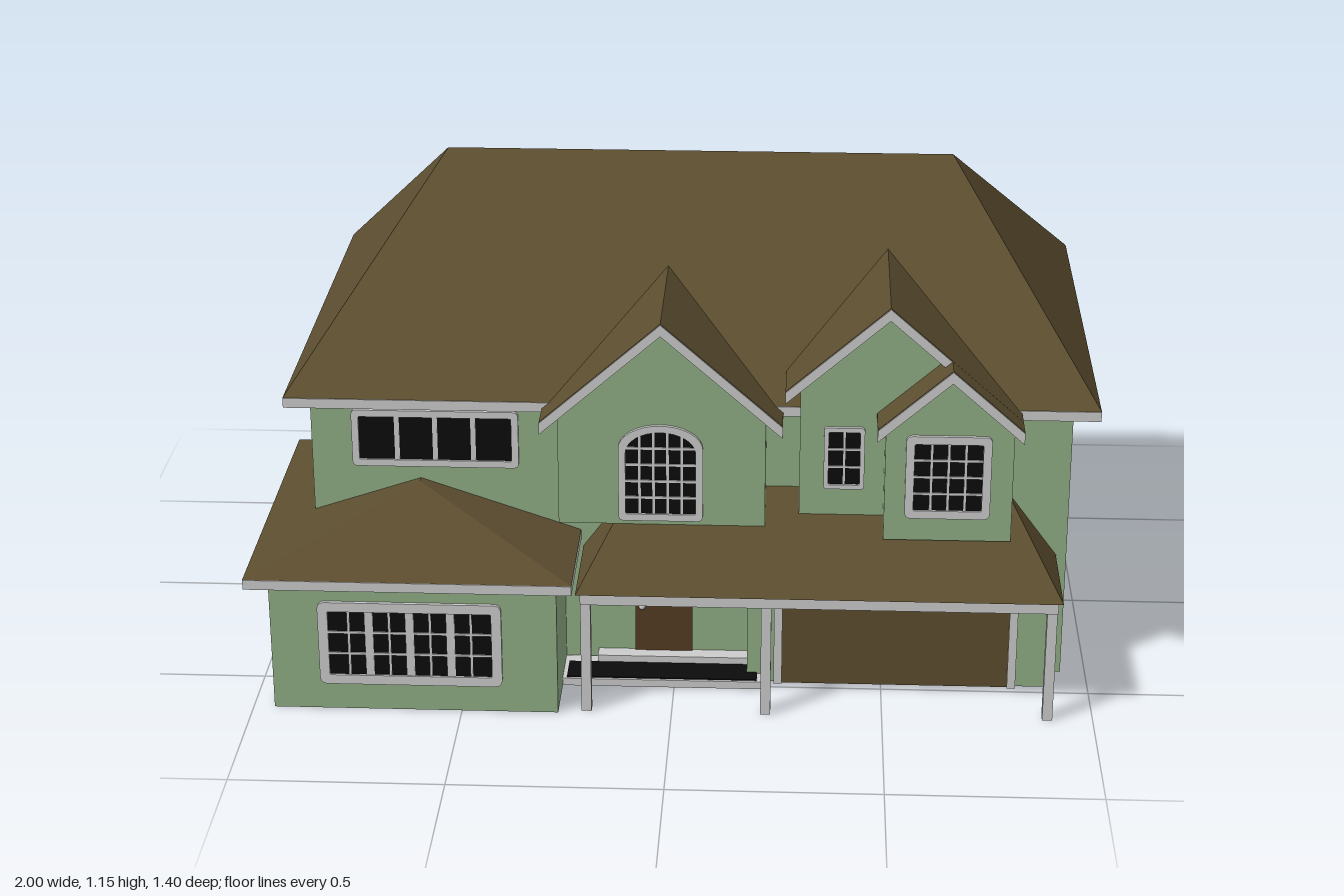
import * as THREE from 'three';

const mat = (name, color, side = THREE.FrontSide) => {
  const m = new THREE.MeshStandardMaterial({ color, side });
  m.name = name;
  return m;
};

export function createModel() {
  const house = new THREE.Group();
  house.name = 'house';
  const siding = mat('green siding', 0x8fad85, THREE.DoubleSide);
  const shingle = mat('brown shingle', 0x5c4d2f, THREE.DoubleSide);
  const trim = mat('white trim', 0xcccccc);
  const glass = mat('dark glass', 0x0c0c0c, THREE.DoubleSide);
  const wood = mat('door wood', 0x553c22);

  const add = (name, geo, material, parent = house) => {
    const m = new THREE.Mesh(geo, material);
    m.name = name;
    parent.add(m);
    return m;
  };
  // box given by its limits on each axis
  const box = (name, material, x0, x1, y0, y1, z0, z1, parent = house) => {
    const m = add(name, new THREE.BoxGeometry(x1 - x0, y1 - y0, z1 - z0), material, parent);
    m.position.set((x0 + x1) / 2, (y0 + y1) / 2, (z0 + z1) / 2);
    return m;
  };
  // flat faces, each a convex polygon of points
  const faces = (name, material, polys) => {
    const pos = [];
    for (const p of polys)
      for (let i = 1; i < p.length - 1; i++) pos.push(...p[0], ...p[i], ...p[i + 1]);
    const g = new THREE.BufferGeometry();
    g.setAttribute('position', new THREE.Float32BufferAttribute(pos, 3));
    g.computeVertexNormals();
    return add(name, g, material);
  };
  // thin upright walls along a ground path of [x, z] points
  const walls = (name, path, y0, y1) =>
    faces(name, siding, path.slice(1).map(([x, z], i) => {
      const [px, pz] = path[i];
      return [[px, y0, pz], [x, y0, z], [x, y1, z], [px, y1, pz]];
    }));
  // polygon in x and y, extruded from z0 to z1
  const prism = (name, material, pts, z0, z1) => {
    const s = new THREE.Shape(pts.map(p => new THREE.Vector2(...p)));
    const g = new THREE.ExtrudeGeometry(s, { depth: z1 - z0, bevelEnabled: false });
    return add(name, g.translate(0, 0, z0), material);
  };
  // four-sided roof on a white eave slab; ridge given by its two ends
  const hipRoof = (name, x0, x1, z0, z1, y, r0, r1, alongX) => {
    const a = [x0, y, z1], b = [x1, y, z1], c = [x1, y, z0], d = [x0, y, z0];
    faces(name, shingle, alongX
      ? [[a, b, r1, r0], [b, c, r1], [c, d, r0, r1], [d, a, r0]]
      : [[a, b, r1], [b, c, r0, r1], [c, d, r0], [d, a, r1, r0]]);
    box(name + 'Eave', trim, x0, x1, y - 0.025, y - 0.001, z0, z1);
  };

  // main block
  walls('mainWalls', [[-0.875, 0.39], [0.94, 0.39], [0.94, -0.645], [-0.875, -0.645], [-0.875, 0.39]], 0, 0.7);
  hipRoof('mainRoof', -0.93, 1, -0.705, 0.445, 0.715, [-0.59, 1.155, -0.13], [0.66, 1.155, -0.13], true);

  // side wing
  walls('wingWalls', [[-0.875, -0.07], [-0.95, -0.07], [-0.95, 0.65], [-0.27, 0.65], [-0.27, 0.39]], 0, 0.34);
  hipRoof('wingRoof', -1, -0.23, -0.12, 0.7, 0.36, [-0.615, 0.49, 0.17], [-0.615, 0.49, 0.41], false);

  // garage
  walls('garageWalls', [[0.175, 0.39], [0.175, 0.47], [0.9, 0.47], [0.9, 0.39]], 0, 0.31);
  box('garageDoor', shingle, 0.26, 0.805, 0, 0.265, 0.471, 0.476);
  box('garageTrimTop', trim, 0.24, 0.825, 0.265, 0.285, 0.47, 0.482);
  for (const x of [0.24, 0.805]) box('garageTrimSide', trim, x, x + 0.02, 0, 0.265, 0.47, 0.482);

  // porch roof, beams and posts
  const pa = [-0.225, 0.317, 0.66], pb = [0.915, 0.317, 0.66];
  const pt0 = [-0.1, 0.485, 0.39], pt1 = [0.79, 0.485, 0.39];
  faces('porchRoof', shingle, [
    [pa, pb, pt1, pt0],
    [pb, [0.915, 0.317, 0.39], pt1],
    [[-0.225, 0.317, 0.39], pa, pt0],
  ]);
  box('porchBeam', trim, -0.215, 0.905, 0.285, 0.316, 0.61, 0.645);
  for (const x of [-0.215, 0.88]) box('porchSideBeam', trim, x, x + 0.025, 0.285, 0.316, 0.39, 0.61);
  for (const x of [-0.215, 0.211, 0.88]) box('porchPost', trim, x, x + 0.024, 0, 0.285, 0.615, 0.639);

  // entry steps and door
  box('lowerStep', trim, -0.27, 0.21, 0.001, 0.02, 0.395, 0.515);
  box('stepTread', glass, -0.26, 0.2, 0.02, 0.023, 0.43, 0.508);
  box('stepUnderside', glass, -0.26, 0.2, 0, 0.001, 0.4, 0.51);
  box('upperStep', trim, -0.19, 0.175, 0.02, 0.04, 0.391, 0.43);
  box('frontDoor', wood, -0.1, 0.04, 0.04, 0.285, 0.391, 0.397);
  const knob = add('doorKnob', new THREE.SphereGeometry(0.008, 10, 8), trim);
  knob.position.set(-0.083, 0.16, 0.4);

  // gabled bays: wall, shingle chevron running back into the roof, white rake trim
  const gable = (name, [x0, x1], y0, wallZ, roofZ, backZ, [lx, px, rx], peak, slope) => {
    const at = x => peak - slope * Math.abs(x - px);
    prism(name + 'Wall', siding, [[x0, y0], [x1, y0], [x1, at(x1) - 0.015], [px, peak - 0.015], [x0, at(x0) - 0.015]], 0.385, wallZ);
    const chevron = t => [[lx, at(lx)], [lx, at(lx) - t], [px, peak - t], [rx, at(rx) - t], [rx, at(rx)], [px, peak]];
    prism(name + 'Roof', shingle, chevron(0.014), backZ, roofZ - 0.004);
    const rake = chevron(0.028).map(([x, y]) => [x, y - 0.002]);
    prism(name + 'Rake', trim, rake, wallZ, roofZ);
  };
  gable('entryBay', [-0.275, 0.215], 0.425, 0.49, 0.53, 0.1, [-0.315, -0.03, 0.255], 0.95, 0.88);
  gable('tallBay', [0.295, 0.795], 0.445, 0.458, 0.498, 0.07, [0.26, 0.5, 0.815], 0.985, 0.88);
  gable('smallBay', [0.495, 0.795], 0.41, 0.518, 0.56, 0.44, [0.475, 0.645, 0.815], 0.857, 0.88);

  // window outline, centred on x, standing on y = 0, with soft corners or an arched head
  const outline = (S, w, h, r, rise, dy = 0) => {
    const s = new S(), a = w / 2;
    s.moveTo(-a + r, dy);
    s.lineTo(a - r, dy);
    s.quadraticCurveTo(a, dy, a, dy + r);
    if (rise) {
      s.lineTo(a, dy + h - rise);
      s.absellipse(0, dy + h - rise, a, rise, 0, Math.PI, false);
    } else {
      s.lineTo(a, dy + h - r);
      s.quadraticCurveTo(a, dy + h, a - r, dy + h);
      s.lineTo(-a + r, dy + h);
      s.quadraticCurveTo(-a, dy + h, -a, dy + h - r);
    }
    s.lineTo(-a, dy + r);
    s.quadraticCurveTo(-a, dy, -a + r, dy);
    return s;
  };
  const windowUnit = (name, w, h, f, { groups = 1, cols = 1, rows = 1, rise = 0, wide = 0.016, bar = 0.006 }) => {
    const g = new THREE.Group();
    g.name = name;
    house.add(g);
    const iw = w - 2 * f, ih = h - 2 * f;
    const frame = outline(THREE.Shape, w, h, f * 0.8, rise);
    frame.holes.push(outline(THREE.Path, iw, ih, 0.004, rise * 0.9, f));
    add('frame', new THREE.ExtrudeGeometry(frame, { depth: 0.009, bevelEnabled: false, curveSegments: 8 }), trim, g);
    const pane = new THREE.ExtrudeGeometry(outline(THREE.Shape, iw, ih, 0.004, rise * 0.9, f),
      { depth: 0.006, bevelEnabled: false, curveSegments: 8 });
    add('pane', pane.translate(0, 0, -0.003), glass, g);
    const n = groups * cols;
    for (let i = 1; i < n; i++) {
      const x = -iw / 2 + iw * i / n, t = (i % cols ? bar : wide) / 2;
      const top = f + ih - rise * 0.9 * (1 - Math.sqrt(1 - (2 * x / iw) ** 2));
      box('mullion', trim, x - t, x + t, f, top, 0, 0.006, g);
    }
    for (let j = 1; j < rows; j++) {
      const y = f + ih * j / rows;
      box('crossBar', trim, -iw / 2, iw / 2, y - bar / 2, y + bar / 2, 0, 0.006, g);
    }
    return g;
  };
  windowUnit('upperWindow', 0.4, 0.145, 0.017, { groups: 4, wide: 0.012 }).position.set(-0.577, 0.523, 0.391);
  windowUnit('wingWindow', 0.435, 0.215, 0.024, { groups: 4, cols: 2, rows: 3, wide: 0.02 }).position.set(-0.618, 0.07, 0.651);
  windowUnit('archedWindow', 0.2, 0.245, 0.017, { cols: 5, rows: 5, rise: 0.06 }).position.set(-0.032, 0.438, 0.491);
  windowUnit('narrowWindow', 0.096, 0.157, 0.011, { cols: 2, rows: 3, bar: 0.005 }).position.set(0.4, 0.515, 0.459);
  windowUnit('bayWindow', 0.2, 0.21, 0.02, { cols: 4, rows: 4 }).position.set(0.643, 0.47, 0.519);
  for (const [x, z, turn] of [[0.941, -0.4, 1], [-0.876, -0.34, -1]]) {
    const w = windowUnit('sideWindow', 0.28, 0.167, 0.008, { groups: 4, rows: 2, wide: 0.006 });
    w.position.set(x, 0.48, z);
    w.rotation.y = turn * Math.PI / 2;
  }
  return house;
}
